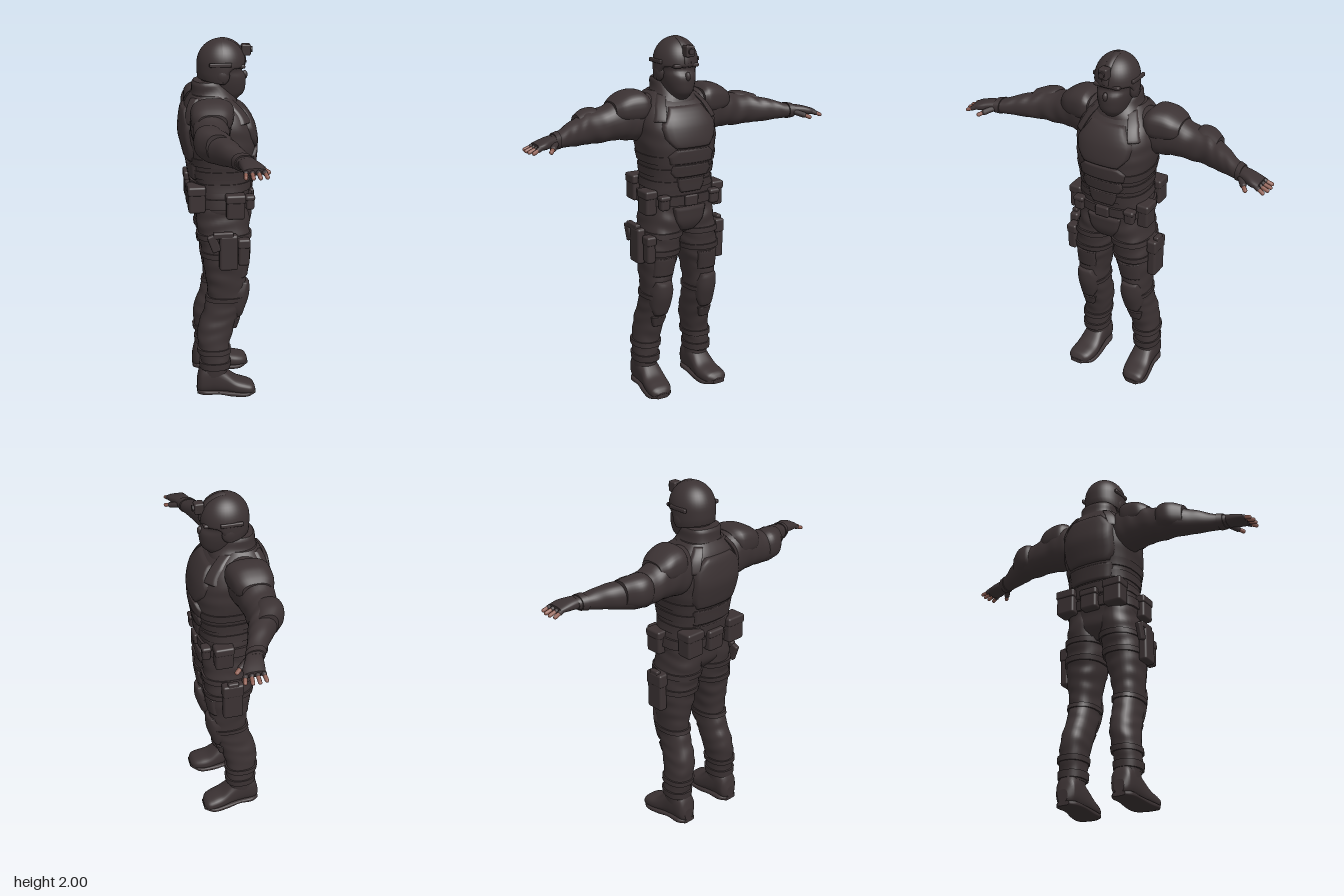
import * as THREE from 'three';
import { RoundedBoxGeometry } from 'three/addons/geometries/RoundedBoxGeometry.js';

// Sections are [t, u0, u1, v0, v1]: extents of a rounded outline at t along an axis.
function at(secs, t) {
  let i = 0;
  while (i < secs.length - 2 && t > secs[i + 1][0]) i++;
  const a = secs[i], b = secs[i + 1], h = b[0] - a[0], s = (t - a[0]) / h;
  const p = secs[i - 1] || a, q = secs[i + 2] || b;
  const e = [1, 2, 3, 4].map((k) => {
    const m0 = ((b[k] - p[k]) / (b[0] - p[0])) * h, m1 = ((q[k] - a[k]) / (q[0] - a[0])) * h;
    return (2 * s ** 3 - 3 * s * s + 1) * a[k] + (s ** 3 - 2 * s * s + s) * m0 +
      (3 * s * s - 2 * s ** 3) * b[k] + (s ** 3 - s * s) * m1;
  });
  return { cu: (e[0] + e[1]) / 2, ru: (e[1] - e[0]) / 2, cv: (e[2] + e[3]) / 2, rv: (e[3] - e[2]) / 2 };
}

function build(pos, idx) {
  const g = new THREE.BufferGeometry();
  g.setAttribute('position', new THREE.Float32BufferAttribute(pos, 3));
  g.setIndex(idx);
  g.computeVertexNormals();
  return g;
}

// Closed tube through the sections; fold adds cloth wrinkles, grow inflates it.
function loft(axis, secs, { n = 2.4, steps = 36, fold = 0, grow = 0, from, to } = {}) {
  const t0 = from ?? secs[0][0], t1 = to ?? secs[secs.length - 1][0], N = 32, pos = [], idx = [];
  const put = (t, u, v) => pos.push(...(axis === 'y' ? [u, t, v] : axis === 'z' ? [u, v, t] : [t, v, u]));
  const tri = (a, b, c) => (axis === 'z' ? idx.push(a, b, c) : idx.push(a, c, b));
  const ring = (t) => {
    const s = at(secs, t);
    for (let j = 0; j < N; j++) {
      const a = (j / N) * Math.PI * 2, c = Math.cos(a), d = Math.sin(a);
      const w = 1 + fold * Math.sin(t * 75 + 1.6 * Math.sin(2 * a + t * 9)) * (0.6 + 0.4 * Math.sin(a * 3 + t * 20));
      put(t, s.cu + (s.ru * w + grow) * Math.sign(c) * Math.abs(c) ** (2 / n),
        s.cv + (s.rv * w + grow) * Math.sign(d) * Math.abs(d) ** (2 / n));
    }
    return s;
  };
  for (let i = 0; i <= steps; i++) ring(t0 + ((t1 - t0) * i) / steps);
  for (let i = 0; i < steps; i++) for (let j = 0; j < N; j++) {
    const a = i * N + j, b = i * N + ((j + 1) % N);
    tri(a, b, b + N); tri(a, b + N, a + N);
  }
  for (const t of [t0, t1]) {
    const o = pos.length / 3, s = ring(t), c = o + N;
    put(t, s.cu, s.cv);
    for (let j = 0; j < N; j++) {
      const a = o + j, b = o + ((j + 1) % N);
      if (t === t1) tri(c, a, b); else tri(c, b, a);
    }
  }
  return build(pos, idx);
}

// Raised armour panel that hugs a body loft; rows are [y, z0, z1], dir picks front or back.
function panel(secs, rows, lift, dir = 1, n = 2.4) {
  const f = [0, 0.015, 0.06, 0.15, 0.27, 0.4, 0.5, 0.6, 0.73, 0.85, 0.94, 0.985, 1], M = f.length, pos = [], idx = [];
  const y0 = rows[0][0], y1 = rows[rows.length - 1][0];
  f.forEach((fy, i) => {
    const y = y0 + (y1 - y0) * fy, s = at(secs, y);
    let k = 0;
    while (k < rows.length - 2 && y > rows[k + 1][0]) k++;
    const [a, b] = [rows[k], rows[k + 1]], q = (y - a[0]) / (b[0] - a[0]);
    f.forEach((fz, j) => {
      const l = a[1] + (b[1] - a[1]) * q, r = a[2] + (b[2] - a[2]) * q, z = l + (r - l) * fz;
      const e = Math.min(1, Math.abs((z - s.cv) / s.rv)), edge = Math.min(i, j, M - 1 - i, M - 1 - j);
      pos.push(s.cu + dir * (s.ru * (1 - e ** n) ** (1 / n) + (edge === 0 ? -0.012 : edge === 1 ? lift * 0.75 : lift)), y, z);
    });
  });
  for (let i = 0; i < M - 1; i++) for (let j = 0; j < M - 1; j++) {
    const a = i * M + j, c = a + M;
    if (dir > 0) idx.push(a, c, c + 1, a, c + 1, a + 1); else idx.push(a, c + 1, c, a, a + 1, c + 1);
  }
  return build(pos, idx);
}

function mirrorZ(geo) {
  const g = geo.clone().scale(1, 1, -1);
  const ix = g.index ? Array.from(g.index.array) : [...Array(g.attributes.position.count).keys()];
  for (let i = 0; i < ix.length; i += 3) [ix[i + 1], ix[i + 2]] = [ix[i + 2], ix[i + 1]];
  g.setIndex(ix);
  return g;
}

function capsule(a, b, r) {
  const A = new THREE.Vector3(...a), B = new THREE.Vector3(...b), d = B.clone().sub(A);
  const q = new THREE.Quaternion().setFromUnitVectors(new THREE.Vector3(0, 1, 0), d.clone().normalize());
  const g = new THREE.CapsuleGeometry(r, d.length(), 4, 10).applyQuaternion(q);
  return g.translate(...A.add(B).multiplyScalar(0.5).toArray());
}

const TORSO = [[0.94, -0.07, 0.11, -0.05, 0.05], [1.0, -0.12, 0.15, -0.16, 0.16], [1.08, -0.13, 0.16, -0.2, 0.2],
  [1.15, -0.14, 0.165, -0.2, 0.2], [1.25, -0.155, 0.175, -0.19, 0.19], [1.35, -0.17, 0.19, -0.2, 0.2],
  [1.43, -0.19, 0.195, -0.215, 0.215], [1.5, -0.205, 0.19, -0.22, 0.22], [1.58, -0.2, 0.165, -0.215, 0.215],
  [1.65, -0.185, 0.11, -0.18, 0.18], [1.71, -0.15, 0.03, -0.12, 0.12]];
const LEG = [[0.16, -0.115, 0.04, 0.105, 0.235], [0.22, -0.12, 0.045, 0.1, 0.238], [0.3, -0.13, 0.045, 0.09, 0.235],
  [0.4, -0.132, 0.07, 0.075, 0.225], [0.5, -0.1, 0.105, 0.07, 0.215], [0.6, -0.075, 0.135, 0.065, 0.215],
  [0.7, -0.085, 0.135, 0.05, 0.222], [0.8, -0.1, 0.15, 0.025, 0.228], [0.9, -0.115, 0.16, 0.005, 0.225],
  [1.0, -0.13, 0.16, 0, 0.21], [1.12, -0.13, 0.15, 0, 0.195]];
const ARM = [[0.12, -0.15, 0.06, 1.46, 1.69], [0.2, -0.17, 0.05, 1.445, 1.705], [0.28, -0.165, 0.035, 1.455, 1.7],
  [0.36, -0.165, 0.02, 1.46, 1.66], [0.43, -0.16, 0.015, 1.455, 1.635], [0.5, -0.155, 0.02, 1.46, 1.63],
  [0.56, -0.11, 0.04, 1.465, 1.61], [0.63, -0.06, 0.06, 1.475, 1.595], [0.7, -0.015, 0.085, 1.485, 1.57],
  [0.76, 0.015, 0.1, 1.495, 1.56]];
const HAND = [[0.73, 0.015, 0.095, 1.497, 1.56], [0.78, 0.02, 0.115, 1.5, 1.557], [0.82, 0.025, 0.135, 1.5, 1.548],
  [0.86, 0.032, 0.138, 1.502, 1.535]];
const HEAD = [[1.64, -0.09, 0.06, -0.08, 0.08], [1.68, -0.08, 0.105, -0.06, 0.06], [1.71, -0.08, 0.135, -0.07, 0.07],
  [1.76, -0.09, 0.145, -0.085, 0.085], [1.8, -0.1, 0.143, -0.092, 0.092], [1.83, -0.1, 0.125, -0.095, 0.095],
  [1.88, -0.1, 0.13, -0.1, 0.1], [1.94, -0.08, 0.09, -0.08, 0.08]];
const FOOT = [[-0.138, 0.14, 0.2, 0.03, 0.1], [-0.12, 0.113, 0.222, 0.015, 0.17], [-0.05, 0.108, 0.23, 0.015, 0.2],
  [0.02, 0.103, 0.233, 0.012, 0.15], [0.08, 0.1, 0.243, 0.008, 0.1], [0.14, 0.11, 0.248, 0.005, 0.08],
  [0.175, 0.13, 0.24, 0.01, 0.066], [0.188, 0.16, 0.215, 0.02, 0.045]];
const SOLE = [[-0.138, 0.13, 0.205, 0.012, 0.035], [-0.1, 0.105, 0.23, 0.01, 0.04], [-0.02, 0.1, 0.232, 0.012, 0.035],
  [0.06, 0.097, 0.245, 0, 0.03], [0.14, 0.105, 0.252, 0, 0.027], [0.19, 0.15, 0.225, 0.01, 0.035]];

export function createModel() {
  const root = new THREE.Group();
  const cloth = new THREE.MeshStandardMaterial({ color: 0x3b3233 });
  const skin = new THREE.MeshStandardMaterial({ color: 0x8f5f53 });
  cloth.name = 'dark cloth';
  skin.name = 'skin';
  const add = (name, geo, mat = cloth) => {
    const m = new THREE.Mesh(geo, mat);
    m.name = name;
    root.add(m);
  };
  const pair = (name, geo, mat) => { add(name + 'Right', geo, mat); add(name + 'Left', mirrorZ(geo), mat); };

  // Torso, belt and collar
  add('torso', loft('y', TORSO, { n: 2.6, steps: 60, fold: 0.008 }));
  add('belt', loft('y', TORSO, { n: 2.6, steps: 4, from: 1.11, to: 1.165, grow: 0.012 }));
  add('buckle', new RoundedBoxGeometry(0.025, 0.06, 0.08, 2, 0.008).translate(0.18, 1.138, 0));
  add('collar', loft('y', [[1.61, -0.18, 0.12, -0.18, 0.18], [1.67, -0.165, 0.095, -0.14, 0.14],
    [1.71, -0.15, 0.075, -0.11, 0.11], [1.765, -0.145, 0.03, -0.102, 0.102], [1.778, -0.135, 0.01, -0.095, 0.095]], { steps: 16, fold: 0.02 }));

  // Armour panels: [name, rows, lift, direction]
  const sym = (rows) => rows.map(([y, w]) => [y, -w, w]);
  [['chestPlate', [[1.43, 0.1], [1.48, 0.15], [1.55, 0.165], [1.61, 0.12], [1.645, 0.1]], 0.016, 1],
    ['upperBellyPlate', [[1.345, 0.13], [1.39, 0.14], [1.425, 0.1]], 0.015, 1],
    ['midBellyPlate', [[1.27, 0.1], [1.3, 0.125], [1.34, 0.11]], 0.014, 1],
    ['lowerBellyPlate', [[1.185, 0.06], [1.22, 0.08], [1.265, 0.085]], 0.014, 1],
    ['groinPlate', [[0.955, 0.035], [1.02, 0.085], [1.1, 0.1]], 0.022, 1],
    ['backPlate', [[1.36, 0.13], [1.42, 0.16], [1.58, 0.16], [1.65, 0.09]], 0.018, -1],
    ['midBackPlate', [[1.26, 0.13], [1.35, 0.14]], 0.014, -1],
    ['lowerBackPlate', [[1.18, 0.12], [1.25, 0.13]], 0.012, -1],
  ].forEach(([name, rows, lift, dir]) => add(name, panel(TORSO, sym(rows), lift, dir, 2.6)));
  for (const dir of [1, -1]) {
    pair(dir > 0 ? 'frontStrap' : 'backStrap', panel(TORSO, [[1.57, 0.14, 0.19], [1.65, 0.11, 0.155], [1.7, 0.08, 0.115]], 0.014, dir, 2.6));
  }
  [1.2, 1.27, 1.34].forEach((y) => add('sideBand', loft('y', TORSO, { n: 2.6, steps: 4, from: y, to: y + 0.045, grow: 0.006 })));

  // Head, helmet and headset
  add('maskedHead', loft('y', HEAD, { n: 2.2 }));
  add('nose', new THREE.SphereGeometry(0.016, 12, 8).scale(1, 1.5, 0.9).translate(0.14, 1.8, 0));
  const profile = [[0.9, -0.8], [0.98, -0.8], [1, -0.4], [1, 0]];
  for (let i = 1; i <= 12; i++) profile.push([Math.cos((i * Math.PI) / 24), Math.sin((i * Math.PI) / 24)]);
  const dome = new THREE.LatheGeometry(profile.map(([r, y]) => new THREE.Vector2(Math.max(r, 0), y)), 40);
  const p = dome.attributes.position;
  for (let i = 0; i < p.count; i++) {
    const x = p.getX(i), y = p.getY(i);
    // Front brim sits higher than the ear and nape cover
    if (y < 0) p.setY(i, y * (x > 0.35 ? 0.15 : x > 0 ? 0.9 - x * 2.1 : 0.9 + x * 0.2));
  }
  dome.scale(0.13, 0.132, 0.117).translate(0.013, 1.867, 0);
  dome.computeVertexNormals();
  add('helmet', dome);
  add('helmetRidge', new THREE.TorusGeometry(0.126, 0.01, 8, 24, 1.6).scale(1, 1, 2.2).translate(0.013, 1.867, 0));
  add('lampMount', new RoundedBoxGeometry(0.05, 0.06, 0.05, 2, 0.008).translate(0.145, 1.935, 0));
  add('lamp', new THREE.CylinderGeometry(0.016, 0.016, 0.03, 12).rotateZ(Math.PI / 2).translate(0.165, 1.935, 0));
  pair('helmetRail', new RoundedBoxGeometry(0.12, 0.022, 0.018, 2, 0.006).translate(0.0, 1.875, 0.113));
  pair('earCup', new THREE.SphereGeometry(0.042, 16, 12).scale(0.95, 1.15, 0.5).translate(0.01, 1.815, 0.098));
  add('brow', new RoundedBoxGeometry(0.035, 0.022, 0.15, 2, 0.009).translate(0.118, 1.856, 0));

  // Arms with shoulder and elbow guards
  pair('sleeve', loft('z', ARM, { n: 2.2, steps: 64, fold: 0.025 }));
  pair('shoulderGuard', loft('z', [[0.17, -0.13, 0.05, 1.6, 1.7], [0.2, -0.165, 0.062, 1.555, 1.722],
    [0.27, -0.172, 0.05, 1.55, 1.718], [0.32, -0.165, 0.035, 1.56, 1.695], [0.355, -0.14, 0.01, 1.57, 1.67]], { n: 2.6, steps: 16 }));
  pair('elbowGuard', loft('z', [[0.41, -0.15, -0.03, 1.49, 1.62], [0.44, -0.17, -0.02, 1.475, 1.642],
    [0.5, -0.165, -0.01, 1.475, 1.64], [0.56, -0.118, 0.0, 1.49, 1.622]], { steps: 14 }));
  pair('cuff', loft('z', ARM, { n: 2.2, steps: 4, from: 0.715, to: 0.745, grow: 0.006 }));

  // Fingerless gloves and fingertips
  pair('glove', loft('z', HAND, { n: 2.6, steps: 12 }));
  [0.045, 0.072, 0.098, 0.124].forEach((x, i) => {
    const tip = [0.895, 0.902, 0.9, 0.89][i], lean = (i - 1) * 0.004;
    pair('gloveFinger', capsule([x, 1.521, 0.84], [x + lean, 1.512, 0.862], 0.0135));
    pair('finger', capsule([x + lean, 1.513, 0.86], [x + lean * 2, 1.5, tip], 0.0105), skin);
  });
  pair('gloveThumb', capsule([0.085, 1.523, 0.745], [0.132, 1.508, 0.782], 0.0165));
  pair('thumb', capsule([0.132, 1.508, 0.782], [0.157, 1.498, 0.804], 0.0115), skin);

  // Legs, knee pads, straps and boots
  pair('trouserLeg', loft('y', LEG, { n: 2.3, steps: 90, fold: 0.028 }));
  pair('kneePad', panel(LEG, [[0.47, 0.115, 0.18], [0.53, 0.085, 0.205], [0.62, 0.078, 0.208], [0.68, 0.1, 0.19]], 0.022, 1, 2.3));
  pair('shinPad', panel(LEG, [[0.4, 0.125, 0.18], [0.46, 0.105, 0.195]], 0.018, 1, 2.3));
  pair('thighPad', panel(LEG, [[0.71, 0.08, 0.2], [0.82, 0.07, 0.2]], 0.01, 1, 2.3));
  [[0.83, 0.03], [0.93, 0.03], [0.57, 0.025], [0.26, 0.03], [0.17, 0.04]].forEach(([y, h]) =>
    pair('legStrap', loft('y', LEG, { n: 2.3, steps: 4, from: y, to: y + h, grow: 0.009 })));
  pair('boot', loft('x', FOOT, { n: 2.5 }));
  pair('sole', loft('x', SOLE, { n: 4 }));
  pair('bootShaft', loft('y', [[0.1, -0.12, 0.035, 0.108, 0.228], [0.15, -0.112, 0.03, 0.108, 0.232], [0.2, -0.112, 0.032, 0.106, 0.234]], { steps: 8 }));

  // Belt pouches, each with a flap: [x, y, z, width, height, depth]
  const pouch = (name, x, y, z, w, h, d) => {
    add(name, new RoundedBoxGeometry(w, h, d, 3, 0.014).translate(x, y, z));
    add(name + 'Flap', new RoundedBoxGeometry(w + 0.008, h * 0.35, d + 0.008, 3, 0.012).translate(x, y + h * 0.34, z));
  };
  for (const s of [1, -1]) {
    pouch('hipPouch', 0.07, 1.13, s * 0.21, 0.1, 0.135, 0.065);
    pouch('rearPouch', -0.135, 1.165, s * 0.15, 0.09, 0.145, 0.11);
    pouch('frontPouch', 0.155, 1.135, s * 0.155, 0.045, 0.08, 0.055);
  }
  pouch('backPouch', -0.15, 1.15, 0, 0.06, 0.12, 0.1);

  // Right thigh holster and left thigh magazine pouch
  add('holster', new RoundedBoxGeometry(0.1, 0.2, 0.05, 3, 0.014).translate(0.03, 0.885, 0.25));
  add('pistolGrip', new RoundedBoxGeometry(0.05, 0.1, 0.03, 2, 0.01).rotateZ(0.35).translate(-0.05, 0.94, 0.258));
  add('pistolSlide', new RoundedBoxGeometry(0.11, 0.035, 0.032, 2, 0.008).translate(0.0, 0.985, 0.258));
  pouch('holsterPouch', 0.115, 0.875, 0.225, 0.06, 0.15, 0.05);
  pouch('magazinePouch', 0.03, 0.85, -0.25, 0.11, 0.22, 0.05);
  add('magazine', new RoundedBoxGeometry(0.06, 0.05, 0.03, 2, 0.008).translate(0.03, 0.955, -0.262));
  return root;
}
